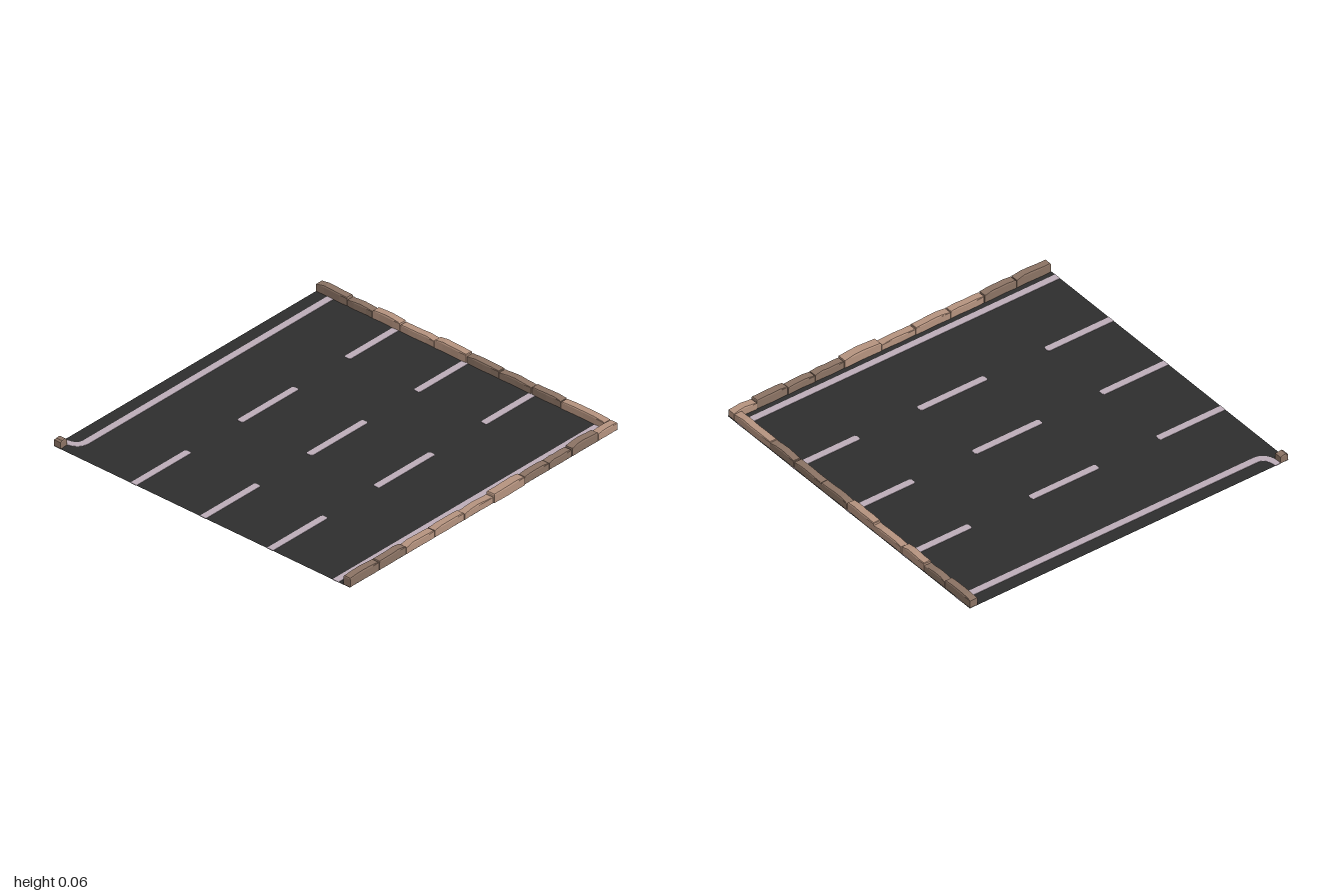
import * as THREE from 'three';

const mat = (name, hex) => {
  const m = new THREE.MeshStandardMaterial({ color: hex });
  m.name = name;
  return m;
};

export function createModel() {
  const asphalt = mat('asphalt', 0x2e2e2e);
  asphalt.side = THREE.DoubleSide;
  const paint = mat('linePaint', 0xbcadb8);
  const lightStone = mat('lightStone', 0xb5937f);
  const darkStone = mat('darkStone', 0x8b7364);

  const root = new THREE.Group();
  root.name = 'roadTile';
  const add = (parent, name, geo, m) => {
    const mesh = new THREE.Mesh(geo, m);
    mesh.name = name;
    parent.add(mesh);
    return mesh;
  };

  // Road sheet
  const road = new THREE.PlaneGeometry(1.985, 2).rotateX(-Math.PI / 2);
  add(root, 'roadSurface', road, asphalt).position.set(-0.0075, 0.002, 0);

  // Lane markings: thin plates that show on both faces of the sheet
  const markings = new THREE.Group();
  markings.name = 'laneMarkings';
  root.add(markings);
  const plate = (name, shape) => {
    const geo = new THREE.ExtrudeGeometry(shape, { depth: 0.004, bevelEnabled: false, curveSegments: 8 });
    add(markings, name, geo.rotateX(-Math.PI / 2), paint);
  };
  // Straight line from z0 to z1, corners clipped where it ends inside the road
  const line = (name, x, z0, z1) => {
    const w = 0.02, c0 = z0 > -0.99 ? 0.008 : 0, c1 = z1 < 0.99 ? 0.008 : 0;
    const pts = [
      [x - w, z1 - c1], [x - w + c1, z1], [x + w - c1, z1], [x + w, z1 - c1],
      [x + w, z0 + c0], [x + w - c0, z0], [x - w + c0, z0], [x - w, z0 + c0],
    ];
    plate(name, new THREE.Shape(pts.map(([px, pz]) => new THREE.Vector2(px, -pz))));
  };
  for (const x of [-0.465, 0, 0.45])
    for (const [z0, z1] of [[-1, -0.59], [-0.21, 0.21], [0.59, 1]]) line('laneDash', x, z0, z1);
  line('leftEdgeLine', 0.89, -1, 1);

  // Right edge line, bending outwards at the front
  const hook = new THREE.Shape();
  hook.moveTo(-0.924, 1);
  hook.lineTo(-0.924, -0.87);
  hook.quadraticCurveTo(-0.928, -0.915, -1, -0.918);
  hook.lineTo(-1, -0.955);
  hook.quadraticCurveTo(-0.886, -0.95, -0.883, -0.87);
  hook.lineTo(-0.883, 1);
  plate('rightEdgeLine', hook);

  // Rough kerb stone: box with a narrowed, gently uneven top
  const stone = (parent, name, [x0, x1], [z0, z1], height, m, seed) => {
    const lx = x1 - x0, lz = z1 - z0, base = 0.003, h = height - base;
    const geo = new THREE.BoxGeometry(lx, h, lz, lx > lz ? 4 : 1, 2, lz > lx ? 4 : 1);
    const p = geo.attributes.position;
    for (let i = 0; i < p.count; i++) {
      let x = p.getX(i), y = p.getY(i), z = p.getZ(i);
      const along = lx > lz ? x / lx : z / lz;
      if (y > -h / 4) {
        const top = y > h / 4;
        if (top) y -= 0.005 * Math.pow(2 * Math.abs(along), 3) + 0.0015 * (1 + Math.sin(seed * 5 + along * 9));
        else y = h * 0.32;
        if (top) {
          x -= Math.sign(x) * (Math.abs(x) > lx * 0.49 ? 0.003 : 0);
          z -= Math.sign(z) * (Math.abs(z) > lz * 0.49 ? 0.003 : 0);
        }
      }
      // slight sideways waviness
      const wave = 0.0015 * Math.sin(seed * 3 + along * 7);
      if (lx > lz) z += wave; else x += wave;
      p.setXYZ(i, x, y, z);
    }
    const flat = geo.toNonIndexed();
    flat.computeVertexNormals();
    add(parent, name, flat, m).position.set((x0 + x1) / 2, base + h / 2, (z0 + z1) / 2);
  };

  // Kerb along the back
  const L = lightStone, D = darkStone, gap = 0.002;
  const backKerb = new THREE.Group();
  backKerb.name = 'backKerb';
  root.add(backKerb);
  const bx = [-1, -0.79, -0.62, -0.437, -0.205, 0.01, 0.228, 0.445, 0.643, 0.937];
  const bh = [0.055, 0.047, 0.056, 0.046, 0.057, 0.05, 0.047, 0.05, 0.048];
  const bm = [D, D, L, L, L, D, D, D, L];
  bh.forEach((h, i) =>
    stone(backKerb, 'backKerbStone', [bx[i] + gap, bx[i + 1] - gap], [-0.997, -0.952], h, bm[i], i));

  // Kerb along the side
  const sideKerb = new THREE.Group();
  sideKerb.name = 'leftKerb';
  root.add(sideKerb);
  const sz = [-0.997, -0.85, -0.655, -0.485, -0.3, -0.068, 0.147, 0.367, 0.58, 0.78, 1];
  const sh = [0.048, 0.058, 0.048, 0.05, 0.058, 0.044, 0.05, 0.049, 0.056, 0.059];
  const sm = [L, D, D, D, L, L, L, L, D, D];
  sh.forEach((h, i) =>
    stone(sideKerb, 'leftKerbStone', [0.94, i === 4 ? 0.993 : 0.986], [sz[i] + gap, sz[i + 1] - gap], h, sm[i], i + 11));

  // Lone kerb end at the front corner
  stone(root, 'cornerKerbStone', [-1, -0.955], [0.952, 0.998], 0.046, D, 23);

  return root;
}
